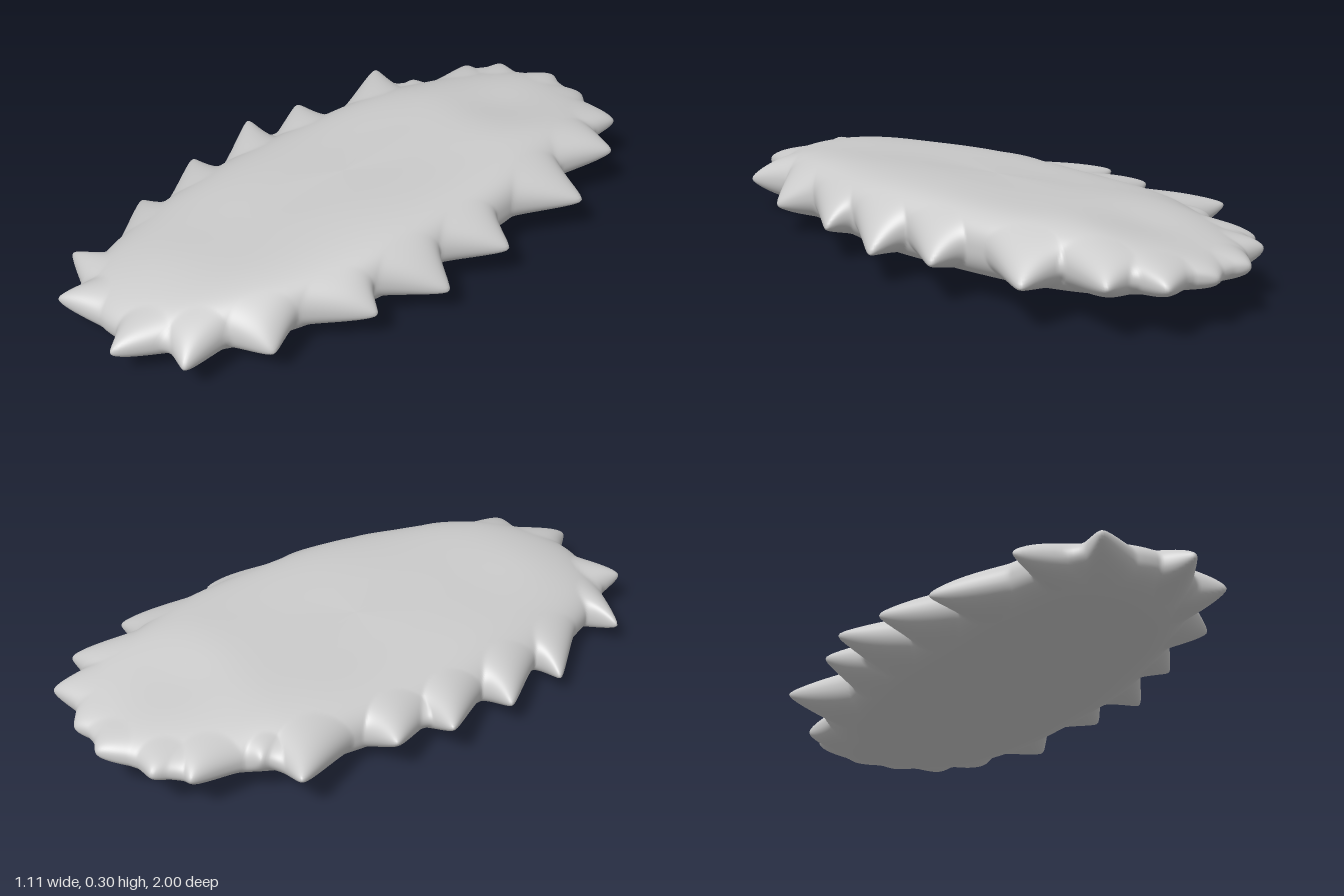
import * as THREE from 'three';

// Body rim seen from above, as x, z pairs
const RIM = [
  [0, -0.96], [0.14, -0.945], [0.25, -0.86], [0.335, -0.64], [0.4, -0.42], [0.435, -0.1], [0.445, 0.18],
  [0.395, 0.48], [0.335, 0.69], [0.255, 0.83], [0.11, 0.925], [-0.05, 0.935], [-0.19, 0.87], [-0.3, 0.67],
  [-0.37, 0.42], [-0.415, 0.1], [-0.41, -0.2], [-0.385, -0.48], [-0.33, -0.65], [-0.265, -0.82], [-0.14, -0.94],
];

// Spikes: tip x, y, z, then base x, z and base radius
const SPIKES = [
  [0.055, 0.2, -1.0, 0.05, -0.95, 0.09], [0.25, 0.21, -0.975, 0.2, -0.9, 0.1],
  [0.375, 0.21, -0.845, 0.31, -0.75, 0.13], [0.49, 0.18, -0.61, 0.38, -0.51, 0.14],
  [0.53, 0.17, -0.26, 0.43, -0.18, 0.13], [0.55, 0.14, 0.0, 0.44, 0.07, 0.13],
  [0.515, 0.15, 0.26, 0.43, 0.34, 0.13], [0.45, 0.13, 0.6, 0.37, 0.585, 0.12],
  [0.36, 0.14, 0.86, 0.3, 0.77, 0.1], [0.17, 0.14, 1.0, 0.18, 0.89, 0.1],
  [-0.145, 0.14, 1.0, -0.08, 0.92, 0.09], [-0.345, 0.11, 0.835, -0.21, 0.85, 0.09],
  [-0.46, 0.1, 0.505, -0.33, 0.59, 0.12], [-0.52, 0.13, 0.26, -0.39, 0.35, 0.13],
  [-0.555, 0.165, 0.005, -0.415, 0.1, 0.13], [-0.525, 0.17, -0.185, -0.415, -0.11, 0.13],
  [-0.525, 0.18, -0.53, -0.4, -0.41, 0.14], [-0.385, 0.18, -0.59, -0.36, -0.56, 0.07],
  [-0.345, 0.18, -0.81, -0.31, -0.73, 0.11], [-0.27, 0.19, -0.905, -0.24, -0.85, 0.09],
  [-0.09, 0.2, -1.0, -0.08, -0.95, 0.09],
];
const BLUNT = 0.12; // rounding of the spike tips

// Tilted middle plane and half thickness of the slab, thinning towards both ends
const midY = (x, z) => 0.161 + 0.082 * x - 0.04 * z;
const halfThickness = (x, z) => 0.121 + 0.03 * x
  - 0.025 * THREE.MathUtils.smoothstep(-z, 0.45, 0.9) - 0.008 * THREE.MathUtils.smoothstep(z, 0.5, 1);

// Gentle unevenness of the flat faces, with a dimple and a swelling near the ends
const relief = (x, z) =>
  0.003 * Math.sin(9 * z + 4 * x) + 0.002 * Math.sin(13 * x - 5 * z)
  - 0.014 * Math.exp(-((x * x) + (z + 0.65) ** 2) / 0.02)
  + 0.007 * Math.exp(-((x * x) + (z - 0.68) ** 2) / 0.02);

function spikySlab(around, down) {
  const curve = new THREE.CatmullRomCurve3(RIM.map(([x, z]) => new THREE.Vector3(x, 0, z)), true);
  const rim = curve.getSpacedPoints(around).slice(0, around);

  // Anchor every spike on the nearest point of the rim
  const spikes = SPIKES.map(([x, y, z, bx, bz, radius]) => {
    const aim = new THREE.Vector3(bx, 0, bz);
    const base = rim.reduce((a, b) => (b.distanceTo(aim) < a.distanceTo(aim) ? b : a)).clone();
    base.y = midY(base.x, base.z);
    return { base, radius, pull: new THREE.Vector3(x, y, z).sub(base) };
  });

  const positions = [];
  const indices = [];
  const p = new THREE.Vector3();
  for (let j = 0; j <= down; j++) {
    // Rounded cross-section from the top centre, over the rim, to the bottom centre
    const t = (j / down) * Math.PI;
    const s = Math.max(0, Math.sin(t)) ** 0.38;
    const c = Math.cos(t);
    for (let i = 0; i < around; i++) {
      const x = rim[i].x * s;
      const z = rim[i].z * s;
      const dy = Math.sign(c) * Math.abs(c) ** 0.85 * halfThickness(x, z);
      p.set(x, midY(x, z) + dy + relief(x, z) * c, z);
      // Draw the wall out towards each spike tip
      for (const { base, radius, pull } of spikes) {
        const d = Math.hypot((x - base.x) / radius, (z - base.z) / radius, dy / 0.11, BLUNT);
        if (d < 1) p.addScaledVector(pull, ((1 - d) / (1 - BLUNT)) ** 1.25);
      }
      positions.push(p.x, p.y, p.z);
      if (j < down) {
        const a = j * around + i;
        const b = j * around + ((i + 1) % around);
        indices.push(a, b, a + around, b, b + around, a + around);
      }
    }
  }
  const geometry = new THREE.BufferGeometry();
  geometry.setAttribute('position', new THREE.Float32BufferAttribute(positions, 3));
  geometry.setIndex(indices);
  geometry.computeBoundingBox();
  geometry.translate(0, -geometry.boundingBox.min.y, 0);
  geometry.computeVertexNormals();
  return geometry;
}

export function createModel() {
  const group = new THREE.Group();
  group.name = 'spikyPad';
  const pad = new THREE.Mesh(spikySlab(640, 72), new THREE.MeshStandardMaterial({ color: 0xcccccc }));
  pad.name = 'padWithSpikes';
  group.add(pad);
  return group;
}
